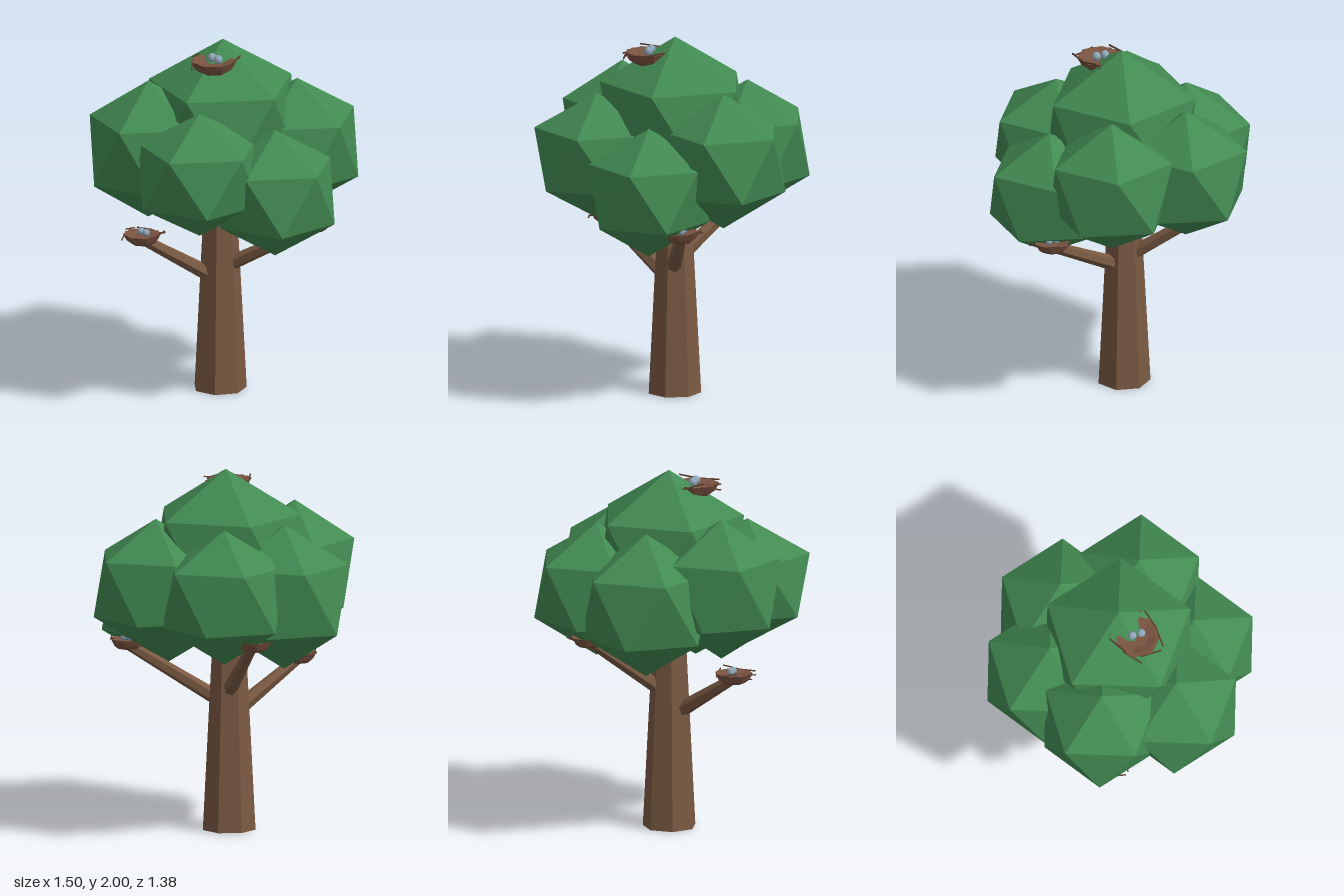
import * as THREE from 'three';

const material = (name, color) => {
  const m = new THREE.MeshStandardMaterial({ color });
  m.name = name;
  return m;
};

// Faceted normals for the low-poly look
function faceted(geometry) {
  const g = geometry.index ? geometry.toNonIndexed() : geometry;
  g.computeVertexNormals();
  return g;
}

function mesh(name, geometry, mat, position = [0, 0, 0]) {
  const m = new THREE.Mesh(faceted(geometry), mat);
  m.name = name;
  m.position.set(...position);
  return m;
}

// Icosahedron standing on a vertex, with an upper ring corner towards +x
function leafGeometry(radius, stretch = 1) {
  const g = new THREE.IcosahedronGeometry(radius, 0);
  g.rotateZ(-Math.atan(2 / (1 + Math.sqrt(5))));
  g.scale(1, stretch, 1);
  return g;
}

// Tapered limb between two points
function limb(name, from, to, r0, r1, mat) {
  const a = new THREE.Vector3(...from), b = new THREE.Vector3(...to);
  const dir = b.clone().sub(a);
  const m = mesh(name, new THREE.CylinderGeometry(r1, r0, dir.length(), 6), mat);
  m.position.copy(a).add(b).multiplyScalar(0.5);
  m.quaternion.setFromUnitVectors(new THREE.Vector3(0, 1, 0), dir.normalize());
  return m;
}

// Bowl with loose twigs on the rim and two eggs
function nest(name, position, scale, turn, mats) {
  const group = new THREE.Group();
  group.name = name;
  const profile = [[0, 0], [0.06, 0], [0.085, 0.018], [0.105, 0.055], [0.085, 0.052], [0.05, 0.04], [0, 0.038]]
    .map(([x, y]) => new THREE.Vector2(x, y));
  const bowl = mesh('nestBowl', new THREE.LatheGeometry(profile, 7), mats.nest);
  bowl.rotation.y = turn;
  group.add(bowl);

  for (let i = 0; i < 7; i++) {
    const angle = turn + i * Math.PI * 2 / 7;
    const twig = mesh('twig', new THREE.BoxGeometry(0.1, 0.006, 0.006), mats.twig,
      [Math.sin(angle) * 0.1, 0.045 + (i % 3) * 0.008, Math.cos(angle) * 0.1]);
    twig.rotation.set(0, angle + (i % 2 ? 0.35 : -0.3), (i % 3 - 1) * 0.2);
    group.add(twig);
  }
  for (const x of [-0.021, 0.021]) {
    const egg = mesh('egg', new THREE.IcosahedronGeometry(0.02, 1), mats.egg, [x, 0.062, -0.01]);
    egg.scale.y = 1.1;
    group.add(egg);
  }
  group.position.set(...position);
  group.scale.setScalar(scale);
  return group;
}

export function createModel() {
  const tree = new THREE.Group();
  tree.name = 'tree';
  const bark = material('bark brown', 0x7a5a43);
  const leaf = material('leaf green', 0x428a52);
  const nestMats = {
    nest: material('nest brown', 0x7a5341),
    twig: material('twig brown', 0x5a3d2e),
    egg: material('egg blue grey', 0x8fa8b8),
  };

  // Trunk
  tree.add(mesh('trunk', new THREE.CylinderGeometry(0.097, 0.148, 0.985, 7, 1, false, 0.65), bark, [-0.035, 0.4925, 0]));

  // Branches
  tree.add(
    limb('frontBranch', [-0.045, 0.65, 0.05], [-0.2, 0.9, 0.42], 0.045, 0.03, bark),
    limb('leftBranch', [0.01, 0.71, -0.01], [0.49, 1.0, -0.21], 0.042, 0.03, bark),
    limb('backBranch', [-0.05, 0.76, -0.03], [-0.42, 1.1, -0.33], 0.042, 0.03, bark),
  );

  // Foliage: centre, radius, vertical stretch
  const clumps = [
    ['crownFoliage', [-0.02, 1.54, -0.01], 0.46, 1],
    ['leftFoliage', [0.41, 1.22, 0], 0.37, 0.97],
    ['rightFoliage', [-0.41, 1.33, -0.01], 0.395, 1.01],
    ['frontRightFoliage', [-0.22, 1.405, 0.36], 0.365, 1.07],
    ['frontLeftFoliage', [0.2, 1.355, 0.37], 0.38, 0.92],
    ['backLeftFoliage', [0.2, 1.375, -0.36], 0.38, 0.99],
    ['backRightFoliage', [-0.25, 1.36, -0.35], 0.38, 0.98],
  ];
  for (const [name, centre, radius, stretch] of clumps) {
    tree.add(mesh(name, leafGeometry(radius, stretch), leaf, centre));
  }

  // Nests
  tree.add(
    nest('crownNest', [0.05, 1.855, 0.125], 1.2, 0.4, nestMats),
    nest('frontNest', [-0.2, 0.88, 0.425], 1, 0.2, nestMats),
    nest('leftNest', [0.49, 0.98, -0.21], 1, 0.9, nestMats),
    nest('backNest', [-0.43, 1.08, -0.33], 1, 1.3, nestMats),
  );
  return tree;
}
